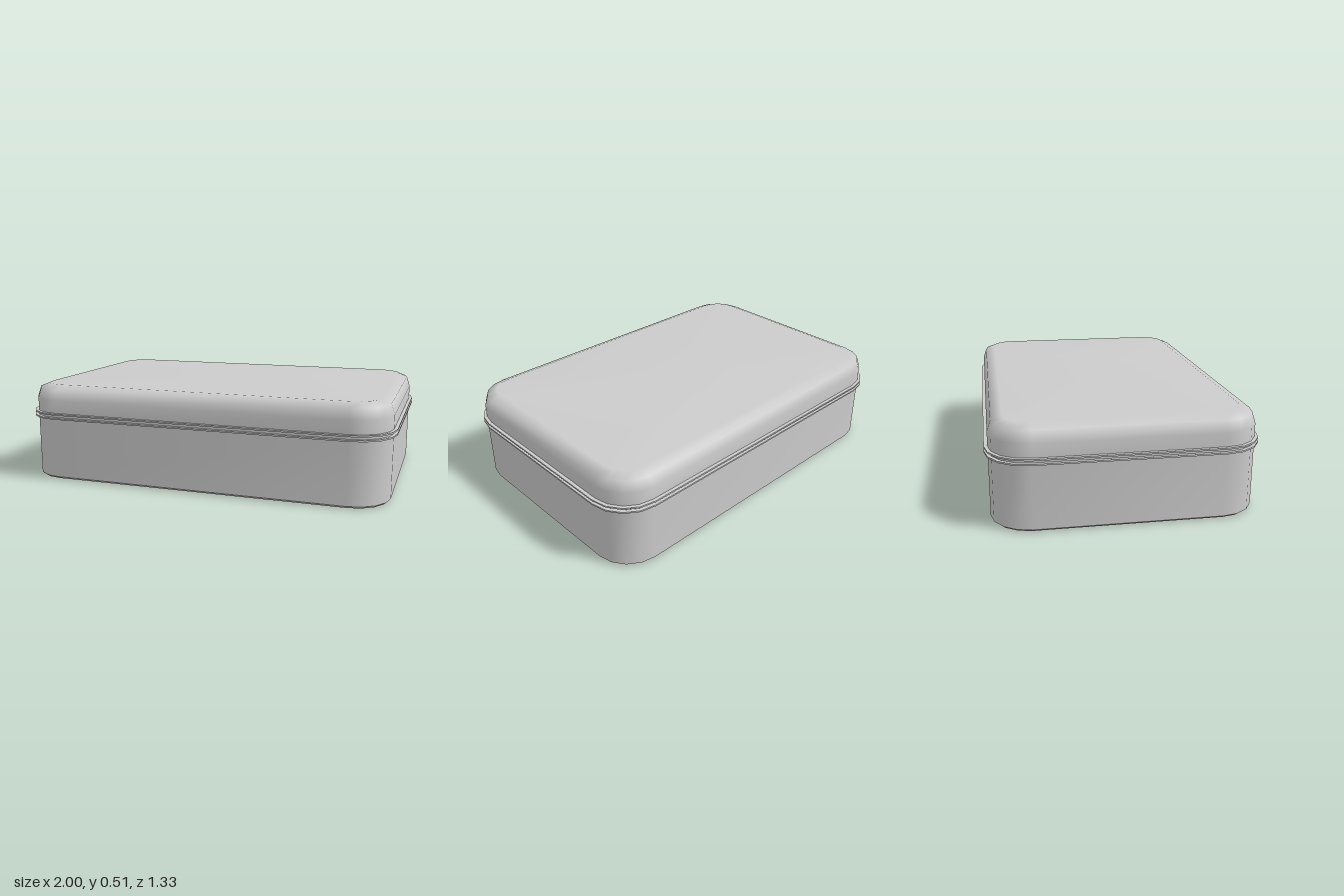
import * as THREE from 'three';
import { toCreasedNormals } from 'three/addons/utils/BufferGeometryUtils.js';

const HALF_X = 1, HALF_Z = 0.667, RADIUS = 0.21, STEPS = 4;

// Rounded-rectangle outline, moved inwards by inset, at height y
function outline(inset, y) {
  const points = [];
  const r = RADIUS - inset;
  const centres = [[1, 1], [-1, 1], [-1, -1], [1, -1]];
  centres.forEach(([sx, sz], corner) => {
    for (let i = 0; i <= STEPS; i++) {
      const a = (corner + i / STEPS) * Math.PI / 2;
      points.push([
        sx * (HALF_X - RADIUS) + r * Math.cos(a), y,
        sz * (HALF_Z - RADIUS) + r * Math.sin(a),
      ]);
    }
  });
  return points;
}

// Skin a bottom-to-top profile of [inset, y] pairs, with optional end caps
function loft(profile, capBottom, capTop) {
  const rings = profile.map(([inset, y]) => outline(inset, y));
  const n = rings[0].length;
  const positions = rings.flat(2);
  const index = [];
  for (let i = 0; i < rings.length - 1; i++) {
    for (let j = 0; j < n; j++) {
      const k = (j + 1) % n;
      const a = i * n + j, b = i * n + k;
      index.push(a, a + n, b, b, a + n, b + n);
    }
  }
  const cap = (ring, up) => {
    const centre = positions.length / 3;
    positions.push(0, profile[ring][1], 0);
    for (let j = 0; j < n; j++) {
      const a = ring * n + j, b = ring * n + (j + 1) % n;
      index.push(centre, up ? b : a, up ? a : b);
    }
  };
  if (capBottom) cap(0, false);
  if (capTop) cap(rings.length - 1, true);
  const geometry = new THREE.BufferGeometry();
  geometry.setAttribute('position', new THREE.Float32BufferAttribute(positions, 3));
  geometry.setIndex(index);
  geometry.computeVertexNormals();
  return geometry;
}

export function createModel() {
  const model = new THREE.Group();
  model.name = 'tinBox';
  const material = new THREE.MeshStandardMaterial({ color: 0xcccccc, side: THREE.DoubleSide });
  const add = (name, geometry) => {
    const mesh = new THREE.Mesh(geometry, material);
    mesh.name = name;
    model.add(mesh);
  };

  // Straight-sided base with a small bevel round the bottom
  add('base', toCreasedNormals(
    loft([[0.032, 0], [0.018, 0.012], [0.018, 0.35]], true, false), 0.6));

  // Softly domed lid
  add('lid', loft([[0.018, 0.35], [0.018, 0.435], [0.036, 0.49], [0.09, 0.512]], false, true));

  // Two thin rims where base and lid meet
  [['baseRim', 0.335], ['lidRim', 0.358]].forEach(([name, y]) => {
    add(name, toCreasedNormals(
      loft([[0.02, y], [0, y], [0, y + 0.008], [0.02, y + 0.008]], false, false), 0.6));
  });

  return model;
}
